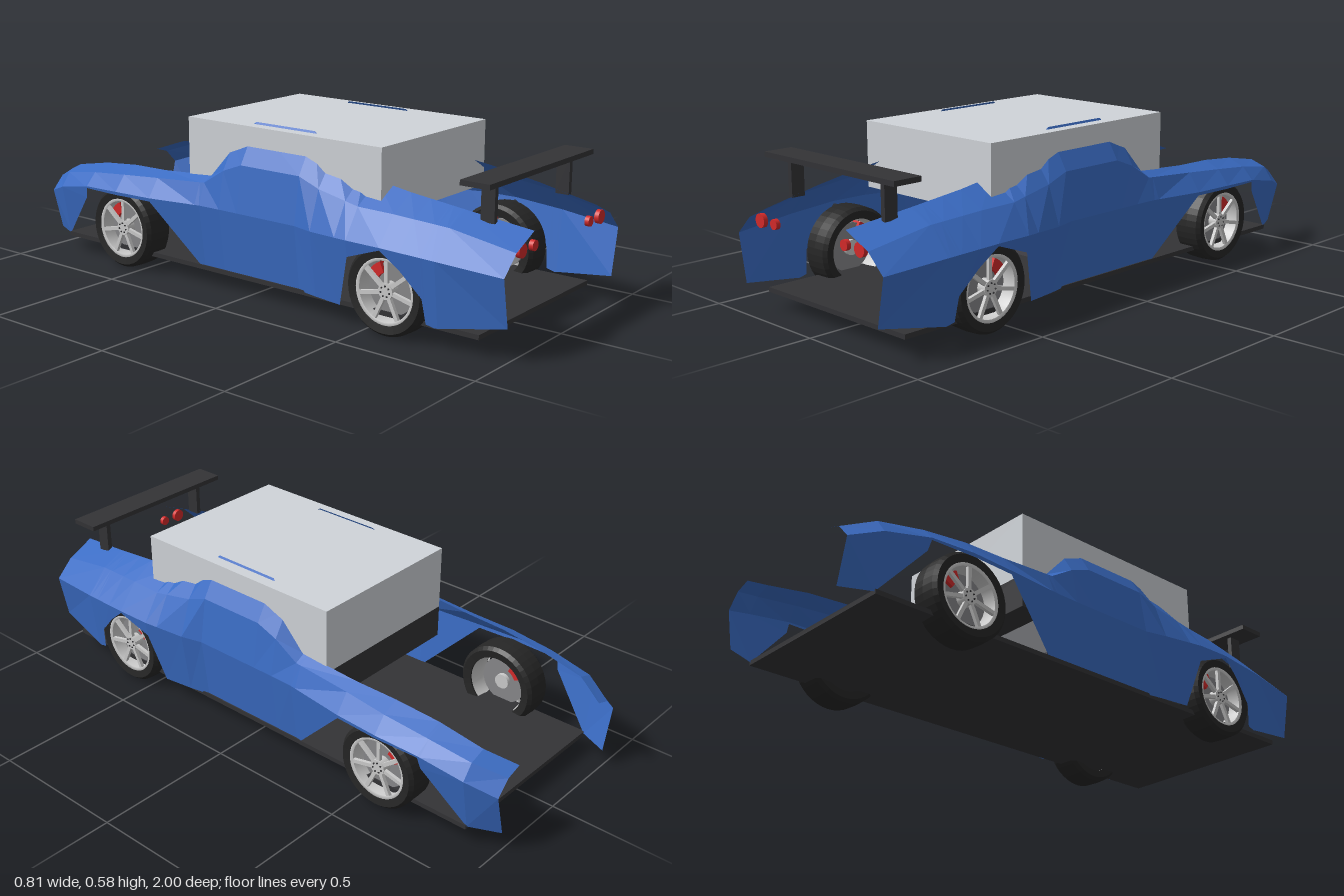
import * as THREE from 'three';

const mat = (color, extra = {}) => new THREE.MeshStandardMaterial({ color, ...extra });
const blue = mat(0x3a6cc4, { flatShading: true, side: THREE.DoubleSide });
const dark = mat(0x333336);
const seatGrey = mat(0x47464c);
const rubber = mat(0x262626);
const silver = mat(0xcccccc, { side: THREE.DoubleSide });
const discGrey = mat(0x88888a);
const cabinGrey = mat(0xd0d4d9);
const red = mat(0xd42a2a);

function add(parent, name, geometry, material, x = 0, y = 0, z = 0) {
  const mesh = new THREE.Mesh(geometry, material);
  mesh.name = name;
  mesh.position.set(x, y, z);
  parent.add(mesh);
  return mesh;
}

// box given by its minimum and maximum corners
function box(parent, name, material, [x0, y0, z0], [x1, y1, z1]) {
  return add(parent, name, new THREE.BoxGeometry(x1 - x0, y1 - y0, z1 - z0), material,
    (x0 + x1) / 2, (y0 + y1) / 2, (z0 + z1) / 2);
}

// side shell stations: z, inner edge x y, shoulder x y, widest line x y, sill x
const STATIONS = [
  [1, 0.195, 0.376, 0.295, 0.33, 0.36, 0.268, 0.322],
  [0.78, 0.225, 0.41, 0.31, 0.37, 0.39, 0.285, 0.365],
  [0.59, 0.24, 0.437, 0.33, 0.385, 0.405, 0.295, 0.375],
  [0.46, 0.235, 0.455, 0.34, 0.39, 0.403, 0.295, 0.37],
  [0.3, 0.25, 0.53, 0.335, 0.42, 0.38, 0.29, 0.35],
  [0.22, 0.255, 0.585, 0.335, 0.45, 0.36, 0.29, 0.335],
  [-0.03, 0.255, 0.585, 0.335, 0.45, 0.36, 0.29, 0.335],
  [-0.11, 0.28, 0.51, 0.335, 0.42, 0.36, 0.29, 0.335],
  [-0.2, 0.298, 0.385, 0.335, 0.365, 0.362, 0.29, 0.335],
  [-0.42, 0.295, 0.37, 0.34, 0.35, 0.385, 0.285, 0.36],
  [-0.58, 0.29, 0.366, 0.35, 0.34, 0.394, 0.285, 0.36],
  [-0.74, 0.28, 0.35, 0.345, 0.325, 0.388, 0.28, 0.36],
  [-0.9, 0.272, 0.32, 0.33, 0.3, 0.368, 0.25, 0.335],
  [-1, 0.225, 0.283, 0.28, 0.265, 0.327, 0.215, 0.29],
];

// lower edge with wheel arches: z, y
const LOWER_EDGE = [
  [1, 0.107], [0.77, 0.068], [0.74, 0.075], [0.73, 0.155], [0.66, 0.23], [0.59, 0.287],
  [0.46, 0.24], [0.41, 0.065], [-0.22, 0.07], [-0.42, 0.273], [-0.74, 0.273],
  [-0.75, 0.235], [-0.9, 0.065], [-1, 0.065],
];

// linear lookup in a table ordered by falling z
function sample(table, z) {
  let i = 0;
  while (i < table.length - 2 && z < table[i + 1][0]) i++;
  const a = table[i], b = table[i + 1];
  const t = (z - a[0]) / (b[0] - a[0]);
  return a.map((v, k) => v + (b[k] - v) * t);
}

function shellGeometry() {
  const zs = [...new Set([...STATIONS, ...LOWER_EDGE].map((row) => row[0]))].sort((a, b) => b - a);
  const positions = [], index = [];
  zs.forEach((z, i) => {
    const [, x0, y0, x1, y1, x2, y2, sill] = sample(STATIONS, z);
    const low = Math.min(sample(LOWER_EDGE, z)[1], y2 - 0.003);
    const lowX = x2 + (sill - x2) * (y2 - low) / (y2 - 0.068);
    positions.push(x0, y0, z, x1, y1, z, x2, y2, z, lowX, low, z);
    if (i === 0) return;
    for (let k = 0; k < 3; k++) {
      const a = (i - 1) * 4 + k, b = i * 4 + k;
      index.push(a, a + 1, b, b, a + 1, b + 1);
    }
  });
  const geometry = new THREE.BufferGeometry();
  geometry.setAttribute('position', new THREE.Float32BufferAttribute(positions, 3));
  geometry.setIndex(index);
  geometry.computeVertexNormals();
  return geometry;
}

// ring turned around the x axis from (radius, x) points
function turned(points) {
  const profile = points.map(([r, x]) => new THREE.Vector2(r, -x));
  return new THREE.LatheGeometry(profile, 40).rotateZ(Math.PI / 2);
}

// left-hand wheel, outer face towards +x
function wheel() {
  const group = new THREE.Group();
  const tireMat = rubber.clone();
  tireMat.side = THREE.DoubleSide;
  tireMat.flatShading = true;
  add(group, 'tire', turned([[0.106, 0.05], [0.134, 0.055], [0.145, 0.042], [0.147, 0],
    [0.145, -0.042], [0.134, -0.055], [0.106, -0.05], [0.106, 0.05]]), tireMat);
  add(group, 'rimBarrel', turned([[0.098, 0.047], [0.108, 0.051], [0.105, 0.045],
    [0.1, 0], [0.105, -0.045]]), silver);
  add(group, 'brakeDisc', new THREE.CylinderGeometry(0.085, 0.085, 0.012, 32).rotateZ(Math.PI / 2),
    discGrey, 0.005);
  add(group, 'hub', new THREE.CylinderGeometry(0.027, 0.027, 0.06, 20).rotateZ(Math.PI / 2),
    silver, 0.015);
  // seven spokes with wheel nuts between them
  for (let i = 0; i < 7; i++) {
    const angle = (i / 7) * Math.PI * 2;
    const spoke = new THREE.BoxGeometry(0.012, 0.085, 0.013).translate(0.037, 0.061, 0);
    add(group, 'spoke', spoke.rotateX(angle), silver);
    const nut = new THREE.CylinderGeometry(0.003, 0.003, 0.004, 6).rotateZ(Math.PI / 2);
    add(group, 'wheelNut', nut.translate(0.046, 0.017, 0).rotateX(angle), dark);
  }
  // caliper: ring segment on the upper rear of the disc
  const shape = new THREE.Shape();
  shape.absarc(0, 0, 0.092, 0.45, 1.15, false);
  shape.absarc(0, 0, 0.055, 1.15, 0.45, true);
  const caliper = new THREE.ExtrudeGeometry(shape, { depth: 0.036, bevelEnabled: false });
  add(group, 'brakeCaliper', caliper.translate(0, 0, -0.013).rotateY(Math.PI / 2), red);
  return group;
}

export function createModel() {
  const car = new THREE.Group();
  car.name = 'car';

  box(car, 'floor', dark, [-0.34, 0.056, -0.9], [0.34, 0.072, 0.91]);
  box(car, 'cabin', cabinGrey, [-0.3, 0.35, -0.3], [0.3, 0.578, 0.52]);
  box(car, 'dashboard', dark, [-0.3, 0.235, -0.3], [0.3, 0.35, -0.2]);
  box(car, 'console', dark, [-0.047, 0.143, -0.15], [0.047, 0.21, 0.15]);
  box(car, 'wing', dark, [-0.318, 0.508, 0.815], [0.318, 0.525, 0.918]);

  // everything mirrored left and right
  const shell = shellGeometry();
  for (const side of [1, -1]) {
    const half = new THREE.Group();
    half.name = side > 0 ? 'leftSide' : 'rightSide';
    half.scale.x = side;
    car.add(half);

    add(half, 'bodyShell', shell, blue);
    box(half, 'wingStrut', dark, [0.22, 0.385, 0.84], [0.237, 0.508, 0.888]);
    box(half, 'seatCushion', seatGrey, [0.083, 0.125, -0.05], [0.262, 0.175, 0.2]);
    box(half, 'seatBack', seatGrey, [0.087, 0.155, 0.17], [0.258, 0.4, 0.22]);
    for (const [x, r] of [[0.247, 0.023], [0.175, 0.017]]) {
      const lamp = new THREE.CylinderGeometry(r, r, 0.015, 24).rotateX(Math.PI / 2);
      add(half, 'tailLight', lamp, red, x, 0.325, 0.987);
    }
    for (const [name, z] of [['rearWheel', 0.59], ['frontWheel', -0.575]]) {
      const w = wheel();
      w.name = name;
      w.position.set(0.325, 0.148, z);
      half.add(w);
    }
  }
  return car;
}
